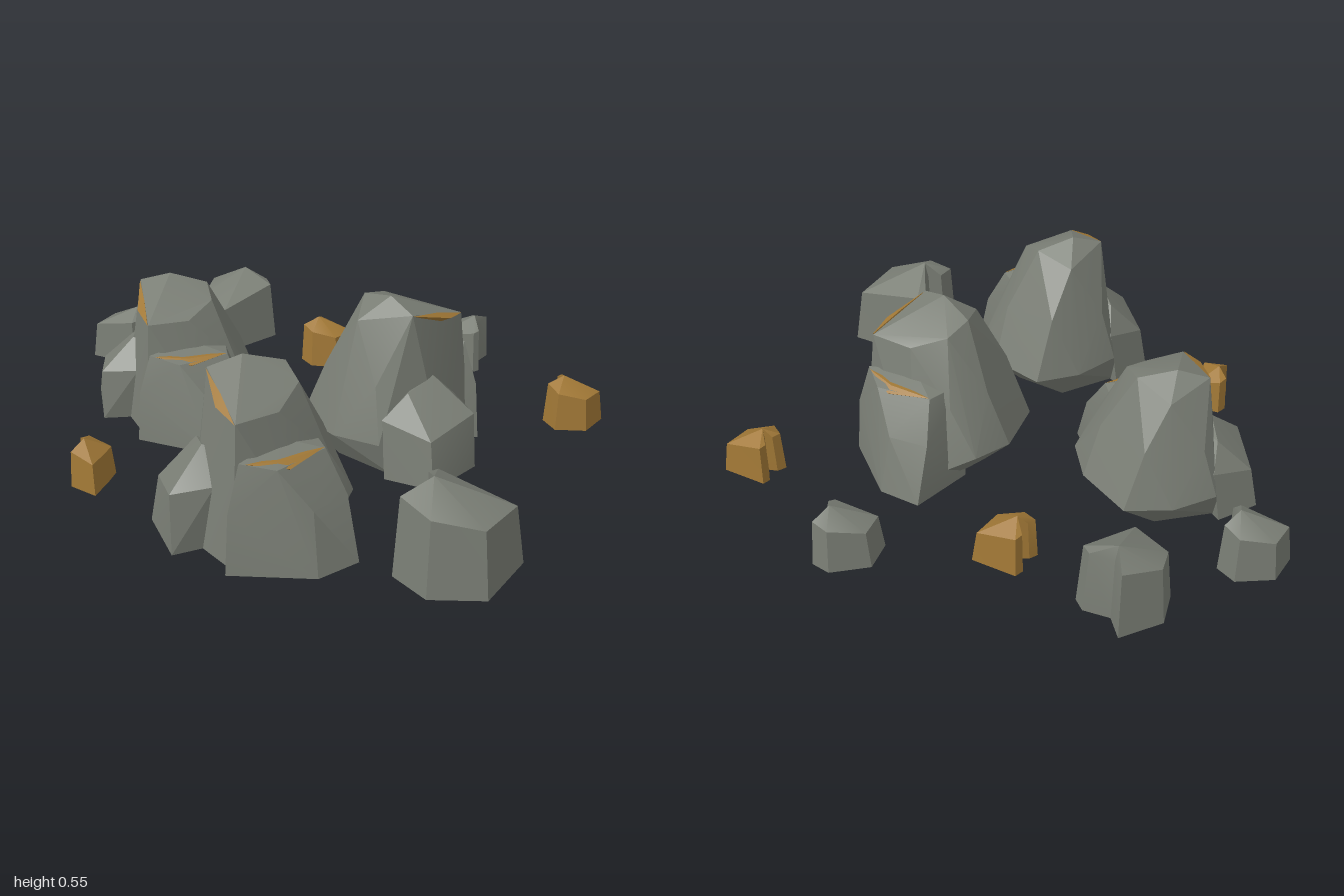
import * as THREE from 'three';
import { toCreasedNormals } from 'three/addons/utils/BufferGeometryUtils.js';
import { ConvexGeometry } from 'three/addons/geometries/ConvexGeometry.js';

const stone = new THREE.MeshStandardMaterial({ color: 0x7a7e75 });
stone.name = 'grey stone';
const ore = new THREE.MeshStandardMaterial({ color: 0xa17836 });
ore.name = 'ochre ore';

// Faceted chunk: the hull of a few corner points
function chunk(name, material, points) {
  const geometry = new ConvexGeometry(points.map((p) => new THREE.Vector3(...p)));
  const mesh = new THREE.Mesh(toCreasedNormals(geometry, 0.3), material);
  mesh.name = name;
  return mesh;
}

// Boulder: tall dome, side shoulder, front lump and two ore seams
function boulder(name, x, z, turn, scale) {
  const group = new THREE.Group();
  group.name = name;
  group.add(
    chunk('dome', stone, [
      [-0.18, 0.005, -0.11], [0, 0.005, -0.15], [0.11, 0.005, -0.1], [0.2, 0.005, 0], [0.1, 0.005, 0.23], [-0.1, 0.005, 0.22], [-0.24, 0.005, 0.1],
      [-0.27, 0.12, 0.06], [-0.25, 0.11, -0.1], [-0.18, 0.11, -0.24], [0.02, 0.11, -0.25], [0.15, 0.12, -0.19],
      [-0.23, 0.3, 0.03], [-0.17, 0.32, -0.16], [0.03, 0.3, -0.18], [0.14, 0.28, -0.1],
      [-0.14, 0.52, 0.11], [0.08, 0.455, 0.19], [0.1, 0.45, 0.05], [0.06, 0.49, -0.06],
      [-0.09, 0.55, 0.02], [-0.16, 0.48, -0.06], [-0.03, 0.515, -0.09],
    ]),
    chunk('shoulder', stone, [
      [0.31, 0.005, -0.06], [0.29, 0.005, 0.08], [0.1, 0.005, 0.26], [0, 0.005, 0.1], [0.1, 0.005, -0.13],
      [0.25, 0.2, -0.07], [0.25, 0.2, 0.06], [0.1, 0.2, 0.245],
      [0.09, 0.36, 0.04], [0.18, 0.33, -0.05], [0.18, 0.33, 0.13], [0.1, 0.345, 0.2], [0.06, 0.33, -0.1],
    ]),
    chunk('lump', stone, [
      [-0.08, 0.005, 0.31], [-0.27, 0.005, 0.24], [-0.27, 0.005, 0.08], [0, 0.005, 0.1],
      [-0.09, 0.2, 0.3], [-0.25, 0.16, 0.22], [-0.01, 0.22, 0.2], [-0.25, 0.2, 0.06],
      [-0.1, 0.31, 0.17], [-0.19, 0.28, 0.12], [-0.03, 0.28, 0.1],
    ]),
    chunk('domeSeam', ore, [
      [-0.14, 0.518, 0.113], [0.08, 0.455, 0.193], [-0.01, 0.472, 0.186], [-0.03, 0.493, 0.15], [-0.02, 0.455, 0.15],
    ]),
    chunk('shoulderSeam', ore, [
      [0.178, 0.333, -0.05], [0.115, 0.345, 0.19], [0.19, 0.323, 0.09], [0.165, 0.339, 0.09], [0.17, 0.305, 0.09],
    ]),
  );
  group.position.set(x, 0, z);
  group.rotation.y = turn;
  group.scale.set(...scale);
  return group;
}

// Notched pebble lofted from its ground outline [x, z], which starts at the notch
function pebble(name, material, height, outline) {
  const n = outline.length;
  const centre = new THREE.Vector2();
  const ring = outline.map(([x, z]) => new THREE.Vector2(x, z));
  ring.forEach((p) => centre.addScaledVector(p, 1 / n));
  const toNotch = ring[0].clone().sub(centre).normalize();
  const radius = Math.max(...ring.map((p) => p.distanceTo(centre)));

  const base = ring.map((p) => [p.x, 0.005, p.y]);
  const top = ring.map((p) => {
    const t = p.clone().sub(centre).dot(toNotch) / radius;
    const q = p.clone().lerp(centre, 0.12);
    return [q.x, height * (0.78 + 0.14 * t), q.y];
  });
  const peak = ring[0].clone().lerp(centre, 0.4);
  const apex = [peak.x, height, peak.y];
  const floor = [centre.x, 0.005, centre.y];

  const position = [];
  for (let i = 0; i < n; i++) {
    const j = (i + 1) % n;
    position.push(
      ...base[i], ...top[j], ...base[j],
      ...base[i], ...top[i], ...top[j],
      ...apex, ...top[j], ...top[i],
      ...floor, ...base[i], ...base[j],
    );
  }
  const geometry = new THREE.BufferGeometry();
  geometry.setAttribute('position', new THREE.Float32BufferAttribute(position, 3));
  const mesh = new THREE.Mesh(toCreasedNormals(geometry, 0.5), material);
  mesh.name = name;
  return mesh;
}

export function createModel() {
  const model = new THREE.Group();
  model.name = 'rockCluster';

  // Three boulders of one shape, turned different ways
  model.add(
    boulder('backBoulder', 0.185, -0.145, 1.97, [1, 1, 1.02]),
    boulder('rightBoulder', -0.405, 0.225, -0.24, [1.07, 0.87, 0.94]),
    boulder('frontBoulder', 0.32, 0.5, 0, [1, 1, 1]),
  );

  // Loose grey stones
  model.add(
    pebble('leftStone', stone, 0.31, [[0.775, 0.325], [0.68, 0.225], [0.68, 0.18], [0.95, 0.1], [1, 0.31], [0.88, 0.43], [0.74, 0.42], [0.735, 0.36]]),
    pebble('backStone', stone, 0.19, [[0.025, -0.755], [0.075, -0.705], [0.07, -0.68], [-0.07, -0.605], [-0.12, -0.7], [-0.05, -0.81], [0.015, -0.82]]),
    pebble('rightBackStone', stone, 0.26, [[-0.77, -0.345], [-0.69, -0.38], [-0.645, -0.36], [-0.66, -0.12], [-0.83, -0.15], [-0.89, -0.25], [-0.84, -0.39]]),
    pebble('rightStone', stone, 0.2, [[-0.845, 0.107], [-0.807, 0.14], [-0.813, 0.176], [-0.973, 0.24], [-1, 0.13], [-0.92, 0.035], [-0.845, 0.045]]),
  );

  // Loose ore nuggets
  model.add(
    pebble('backNugget', ore, 0.17, [[0.495, -0.637], [0.447, -0.668], [0.445, -0.695], [0.595, -0.74], [0.61, -0.635], [0.535, -0.565], [0.465, -0.588], [0.47, -0.62]]),
    pebble('middleNugget', ore, 0.17, [[-0.4, -0.353], [-0.45, -0.385], [-0.45, -0.417], [-0.305, -0.46], [-0.29, -0.348], [-0.364, -0.289], [-0.428, -0.3], [-0.422, -0.33]]),
    pebble('frontNugget', ore, 0.15, [[-0.28, 0.755], [-0.326, 0.733], [-0.326, 0.695], [-0.24, 0.663], [-0.214, 0.706], [-0.171, 0.79], [-0.267, 0.813], [-0.275, 0.78]]),
  );
  return model;
}
